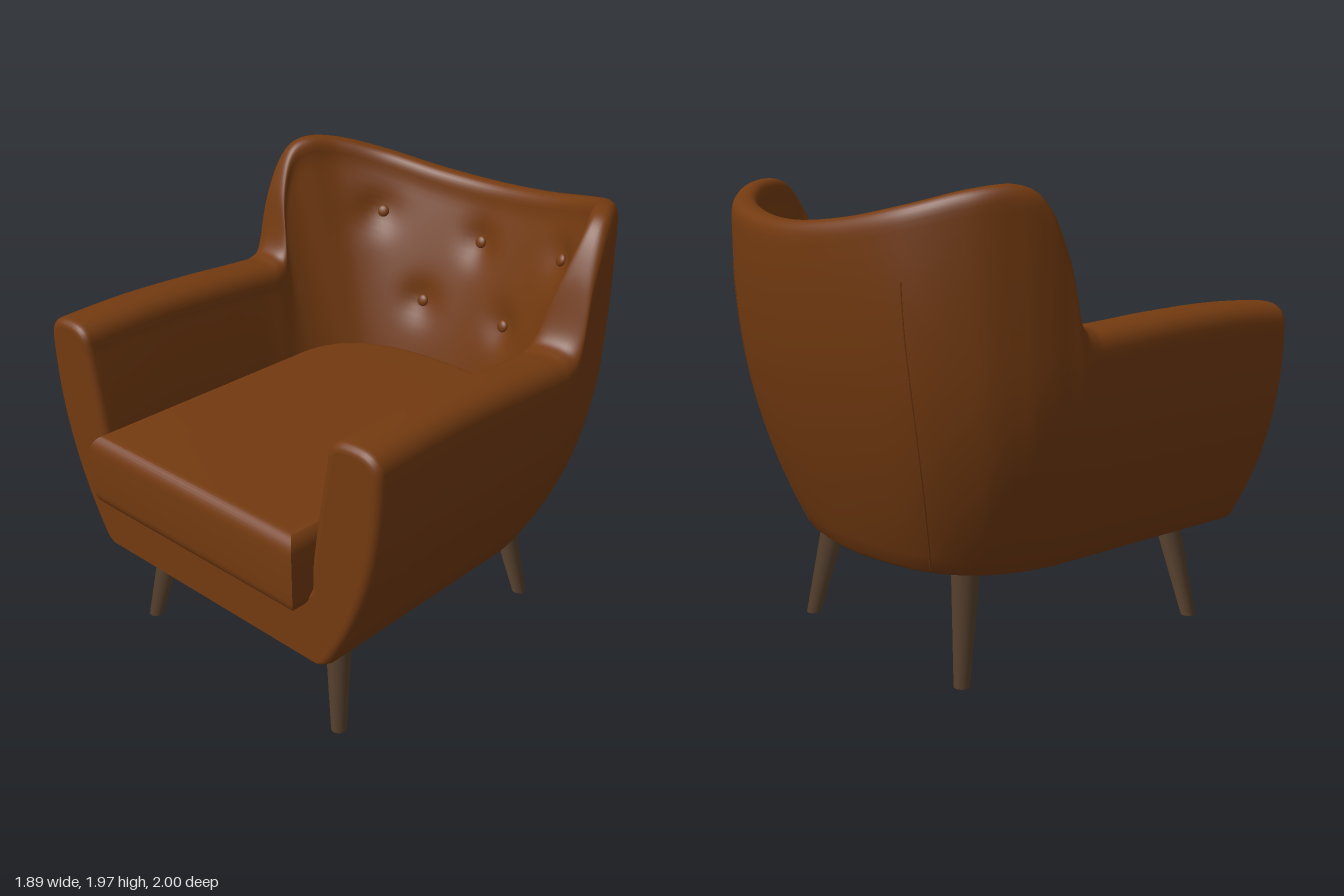
import * as THREE from 'three';
import { toCreasedNormals } from 'three/addons/utils/BufferGeometryUtils.js';

const V = (x, y, z) => new THREE.Vector3(x, y, z);
const FLOOR = 0.45, SEAT = 0.69, FRONT = 0.91;

// Half plan of the shell, front of the arm to the middle of the back:
// outer x, outer z, top height, seat-level inner x, z, top-level inner x, z
const stations = [
  [0.945, 0.91, 1.46, 0.605, 0.91, 0.69, 0.91],
  [0.945, 0.55, 1.472, 0.605, 0.55, 0.69, 0.55],
  [0.945, 0.20, 1.462, 0.605, 0.22, 0.69, 0.20],
  [0.945, 0.00, 1.45, 0.605, 0.04, 0.69, 0.01],
  [0.945, -0.14, 1.443, 0.605, -0.08, 0.69, -0.12],
  [0.945, -0.23, 1.445, 0.60, -0.17, 0.69, -0.21],
  [0.94, -0.30, 1.50, 0.595, -0.24, 0.71, -0.28],
  [0.93, -0.36, 1.74, 0.58, -0.31, 0.78, -0.34],
  [0.915, -0.45, 1.91, 0.55, -0.39, 0.81, -0.42],
  [0.88, -0.56, 1.97, 0.50, -0.47, 0.78, -0.51],
  [0.79, -0.72, 1.955, 0.42, -0.55, 0.70, -0.65],
  [0.60, -0.88, 1.90, 0.30, -0.60, 0.53, -0.78],
  [0.32, -0.965, 1.85, 0.15, -0.635, 0.28, -0.85],
  [0, -1.0, 1.83, 0, -0.645, 0, -0.88],
];
const curveOf = (pick) => {
  const half = stations.map(pick);
  const mirrored = half.slice(0, -1).reverse().map((p) => V(-p.x, p.y, p.z));
  return new THREE.CatmullRomCurve3([...half, ...mirrored], false, 'catmullrom', 0.5);
};
const outerCurve = curveOf((s) => V(s[0], s[2], s[1]));
const seatCurve = curveOf((s) => V(s[3], 0, s[4]));
const rimCurve = curveOf((s) => V(s[5], 0, s[6]));

const buttonSpots = [[0.52, 1.62], [0, 1.555], [0.24, 1.235]];

// Outer skin, tapering toward the floor
function outerPoint(t, y) {
  const p = outerCurve.getPoint(t);
  const sx = 1 - 0.28 * Math.max(0, (1.35 - y) / 0.9) ** 2.2;
  const sz = 1 - 0.29 * Math.max(0, (1.7 - y) / 1.25) ** 1.84;
  return V(p.x * sx, y, p.z < 0 ? p.z * sz : p.z);
}

// Inner skin, leaning out from seat to rim, with a dimple at each button
function innerPoint(t, y) {
  const top = outerCurve.getPoint(t).y;
  const g = THREE.MathUtils.clamp((y - 0.85) / (top - 0.95), 0, 1) ** 1.2;
  const p = seatCurve.getPoint(t).lerp(rimCurve.getPoint(t), g);
  p.y = y;
  p.x *= 1 - 0.14 * Math.max(0, (0.79 - y) / 0.1) ** 2;
  if (p.z < -0.3) {
    const out = outerPoint(t, y).sub(p).normalize();
    for (const [bx, by] of buttonSpots) {
      const d2 = (Math.abs(p.x) - bx) ** 2 + (y - by) ** 2;
      p.addScaledVector(out, 0.035 * Math.exp(-d2 / 0.008));
    }
  }
  return p;
}

// Cross-section from the underside edge, over the rim and down to the seat
function section(t, inset = 0) {
  const H = outerCurve.getPoint(t).y, r = H > 1.6 ? 0.09 : 0.11, pts = [];
  const foot = outerPoint(t, FLOOR);
  pts.push(V(foot.x * 0.975 - inset, FLOOR, foot.z < 0 ? foot.z * 0.975 : foot.z));
  const rows = 20, arc = 16, inner = 32;
  for (let j = 0; j < rows; j++) {
    const p = outerPoint(t, FLOOR + 0.02 + (H - r - FLOOR - 0.02) * (j / rows));
    p.x -= inset;
    pts.push(p);
  }
  for (let j = 0; j <= arc; j++) {
    const a = (j / arc) * Math.PI, c = Math.cos(a), s = Math.max(0, Math.sin(a));
    const y = H - r + r * s ** 0.75;
    const p = outerPoint(t, y).lerp(innerPoint(t, y), 0.5 - 0.5 * Math.sign(c) * Math.abs(c) ** 0.75);
    p.x -= inset * c;
    p.y -= inset * s;
    pts.push(p);
  }
  for (let j = 1; j <= inner; j++) {
    const p = innerPoint(t, H - r + (SEAT - H + r) * (j / inner));
    p.x += inset * Math.min(1, (p.y - SEAT) / 0.1);
    pts.push(p);
  }
  return pts;
}

function shellRows() {
  const half = [], n = 120, fillet = 0.035;
  // Rounded front edge of the arm
  for (let k = 0; k <= 5; k++) {
    const a = (k / 5) * Math.PI / 2;
    const row = section(0, fillet * (1 - Math.sin(a)));
    row.forEach((p) => { p.z = FRONT - fillet * (1 - Math.cos(a)); });
    half.push(row);
  }
  for (let i = 2; i <= n; i++) half.push(section((i / n) * 0.5));
  const other = half.slice(0, -1).reverse().map((row) => row.map((p) => V(-p.x, p.y, p.z)));
  return [...half, ...other];
}

function loft(rows) {
  const m = rows[0].length, index = [];
  for (let i = 0; i < rows.length - 1; i++) {
    for (let j = 0; j < m - 1; j++) {
      const a = i * m + j, b = a + m;
      index.push(a, b, a + 1, b, b + 1, a + 1);
    }
  }
  const g = new THREE.BufferGeometry().setFromPoints(rows.flat());
  g.setIndex(index);
  g.computeVertexNormals();
  return g;
}

export function createModel() {
  const model = new THREE.Group();
  const fabric = new THREE.MeshStandardMaterial({ color: 0x733a10, side: THREE.DoubleSide });
  fabric.name = 'brown upholstery';
  const wood = new THREE.MeshStandardMaterial({ color: 0x58422f });
  wood.name = 'dark wood';
  const add = (name, geometry, material) => {
    const mesh = new THREE.Mesh(geometry, material);
    mesh.name = name;
    model.add(mesh);
    return mesh;
  };

  // Arms and back in one wrap-around shell
  const rows = shellRows();
  add('armAndBackShell', loft(rows), fabric);

  // Flat U-shaped front and the underside
  const edge = [...rows[0], ...[...rows[rows.length - 1]].reverse()];
  const front = new THREE.ShapeGeometry(new THREE.Shape(edge.map((p) => new THREE.Vector2(p.x, p.y))));
  add('frontPanel', front.translate(0, 0, FRONT), fabric);
  const under = new THREE.ShapeGeometry(new THREE.Shape(rows.map((r) => new THREE.Vector2(r[0].x, r[0].z))));
  add('underside', under.rotateX(Math.PI / 2).translate(0, FLOOR, 0), fabric);

  // Platform below the cushion
  const platform = new THREE.BoxGeometry(1.06, 0.2, 1.36);
  add('seatPlatform', platform.translate(0, SEAT - 0.1, 0.225), fabric);

  // Seat cushion with a rounded back and soft edges
  const b = 0.06, w = 0.605 - b, f = 1.0 - b;
  const plan = new THREE.Shape();
  plan.moveTo(-w, -f);
  plan.lineTo(w, -f);
  plan.lineTo(w, 0.22);
  plan.bezierCurveTo(w, 0.47, 0.36, 0.64 - b, 0, 0.64 - b);
  plan.bezierCurveTo(-0.36, 0.64 - b, -w, 0.47, -w, 0.22);
  plan.closePath();
  const cushion = new THREE.ExtrudeGeometry(plan, {
    depth: 1.03 - SEAT - 0.15, bevelThickness: 0.075, bevelSize: b, bevelSegments: 8, curveSegments: 24,
  });
  cushion.rotateX(-Math.PI / 2).translate(0, SEAT + 0.075, 0);
  add('seatCushion', toCreasedNormals(cushion, 0.6), fabric);

  // Tufting buttons seated in their dimples
  for (const [bx, y] of buttonSpots) {
    let best = 0.5;
    for (let t = 0.3; t <= 0.5; t += 0.0005) {
      if (Math.abs(innerPoint(t, y).x - bx) < Math.abs(innerPoint(best, y).x - bx)) best = t;
    }
    const p = innerPoint(best, y);
    const along = innerPoint(best + 0.01, y).sub(innerPoint(best - 0.01, y));
    const up = innerPoint(best, y + 0.02).sub(innerPoint(best, y - 0.02));
    const normal = up.cross(along).normalize();
    if (normal.z < 0) normal.negate();
    for (const side of bx ? [1, -1] : [1]) {
      const button = add('button', new THREE.SphereGeometry(0.029, 20, 12), fabric);
      button.scale.z = 0.55;
      button.position.set(p.x * side, p.y, p.z).add(V(normal.x * side, normal.y, normal.z).multiplyScalar(0.006));
      button.quaternion.setFromUnitVectors(V(0, 0, 1), V(normal.x * side, normal.y, normal.z));
    }
  }

  // Vertical seams at the back corners
  const seamT = 11 / 26;
  for (const t of [seamT, 1 - seamT]) {
    const pts = [];
    for (let k = 0; k <= 10; k++) pts.push(outerPoint(t, 0.47 + 1.16 * (k / 10)));
    add('backSeam', new THREE.TubeGeometry(new THREE.CatmullRomCurve3(pts), 40, 0.004, 6), fabric);
  }

  // Tapered splayed legs, cut level at the floor
  const legs = [['frontLeg', 0.515, 0.66, 0.59, 0.742], ['backLeg', 0.47, -0.48, 0.545, -0.562]];
  for (const [name, tx, tz, bx, bz] of legs) {
    for (const side of [1, -1]) {
      const g = new THREE.CylinderGeometry(0.06, 0.033, 0.47, 28).translate(0, 0.235, 0);
      const pos = g.attributes.position;
      for (let i = 0; i < pos.count; i++) {
        const k = pos.getY(i) / 0.45;
        pos.setX(i, pos.getX(i) + side * (bx + (tx - bx) * k));
        pos.setZ(i, pos.getZ(i) + bz + (tz - bz) * k);
      }
      add(name, g, wood);
    }
  }
  return model;
}
